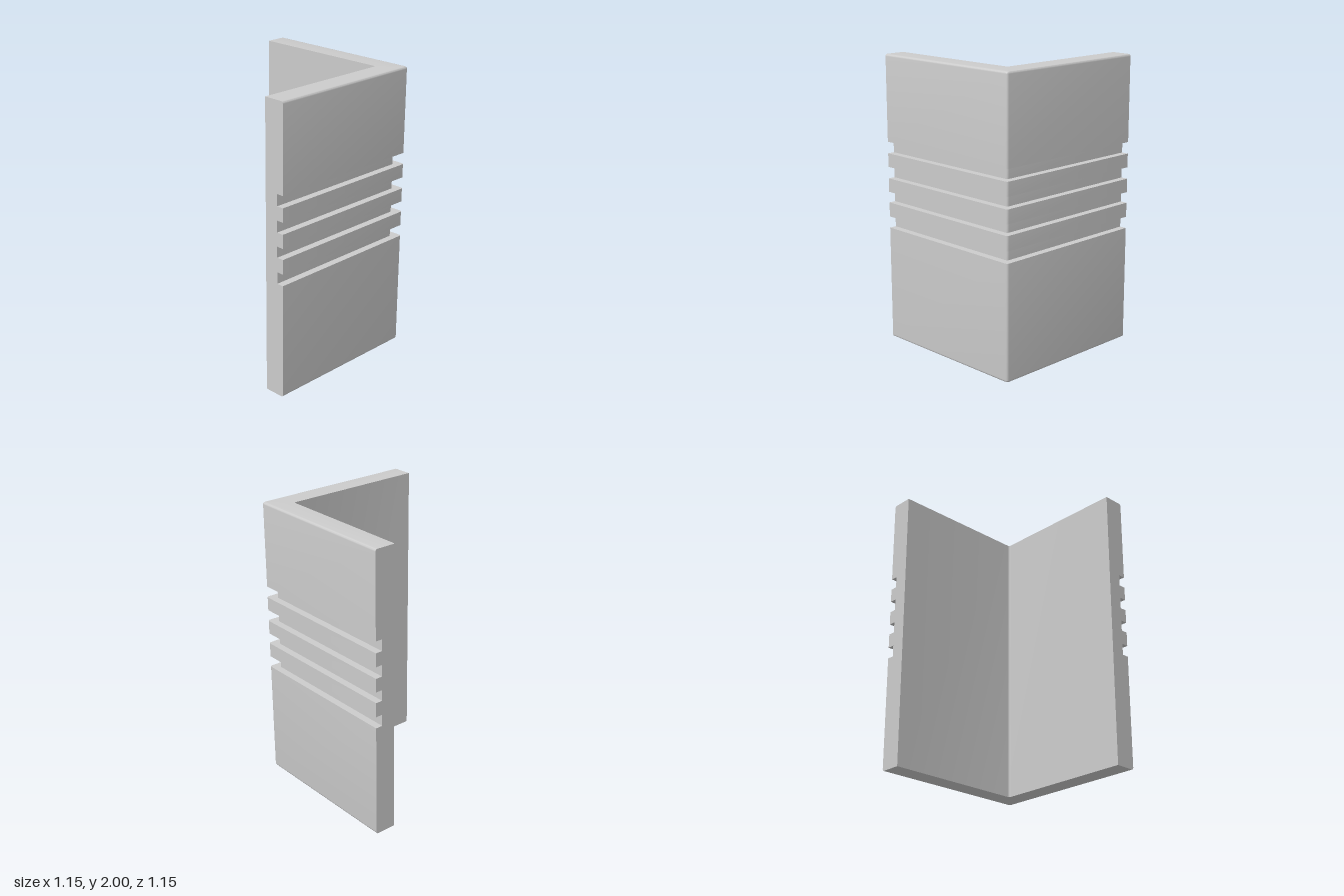
import * as THREE from 'three';
import { toCreasedNormals } from 'three/addons/utils/BufferGeometryUtils.js';

const HALF = 0.575;      // half width of each wing
const THICK = 0.15;      // wall thickness
const HEIGHT = 2;
const ROUND = 0.016;     // edge and corner rounding
const GROOVE = 0.05;     // groove depth
const ARC_STEPS = 4;
const GROOVES = [[0.80, 0.88], [0.98, 1.055], [1.15, 1.23], [1.325, 1.405]];

// Wall section: x is the depth behind the outer face, y is the height
function wallProfile() {
  const s = new THREE.Shape();
  s.moveTo(THICK, 0);
  s.lineTo(THICK, HEIGHT);
  s.lineTo(ROUND, HEIGHT);
  s.quadraticCurveTo(0, HEIGHT, 0, HEIGHT - ROUND);
  for (const [bottom, top] of [...GROOVES].reverse()) {
    s.lineTo(0, top);
    s.lineTo(GROOVE, top);
    s.lineTo(GROOVE, bottom);
    s.lineTo(0, bottom);
  }
  s.lineTo(0, ROUND);
  s.quadraticCurveTo(0, 0, ROUND, 0);
  s.closePath();
  return s;
}

// Position on the L-shaped path for a station and a depth, as [x, z]
function pathPoint(station, depth) {
  const face = HALF - depth;
  if (station === 0) return [-HALF, face];
  if (station === ARC_STEPS + 2) return [face, -HALF];
  const a = ((station - 1) / ARC_STEPS) * Math.PI / 2;
  return [face - ROUND + ROUND * Math.sin(a), face - ROUND + ROUND * Math.cos(a)];
}

export function createModel() {
  const group = new THREE.Group();
  group.name = 'groovedCornerPanel';

  // Extrude one unit per station, then bend the strip around the corner
  const stations = ARC_STEPS + 2;
  const geometry = new THREE.ExtrudeGeometry(wallProfile(), {
    depth: stations, steps: stations, bevelEnabled: false, curveSegments: 4,
  });
  const pos = geometry.attributes.position;
  for (let i = 0; i < pos.count; i++) {
    const [x, z] = pathPoint(Math.round(pos.getZ(i)), pos.getX(i));
    pos.setXYZ(i, x, pos.getY(i), z);
  }

  const wall = new THREE.Mesh(
    toCreasedNormals(geometry, 0.6),
    new THREE.MeshStandardMaterial({ color: 0xcccccc }),
  );
  wall.name = 'cornerWall';
  group.add(wall);
  return group;
}
